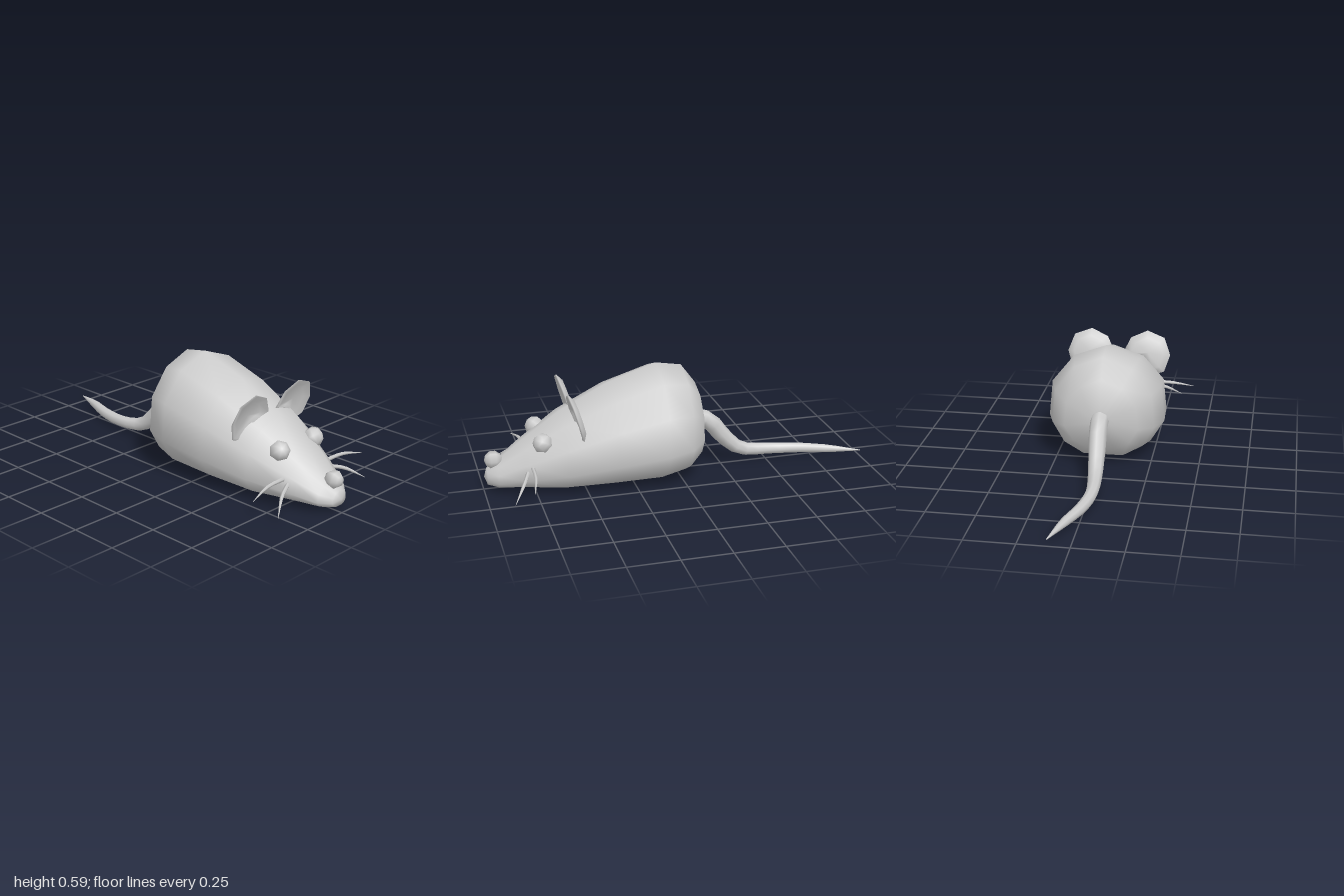
import * as THREE from 'three';
import { mergeVertices } from 'three/addons/utils/BufferGeometryUtils.js';

const material = new THREE.MeshStandardMaterial({ color: 0xcccccc });

function part(name, geometry, parent) {
  const mesh = new THREE.Mesh(geometry, material);
  mesh.name = name;
  parent.add(mesh);
  return mesh;
}

// Smooth skin over rings of [x, y, z]; rings run clockwise seen from +z, back to front
function loft(rings) {
  const n = rings[0].length, index = [];
  for (let i = 0; i < rings.length - 1; i++) {
    for (let j = 0; j < n; j++) {
      const a = i * n + j, b = i * n + (j + 1) % n;
      index.push(a, a + n, b, b, a + n, b + n);
    }
  }
  const g = new THREE.BufferGeometry();
  g.setAttribute('position', new THREE.Float32BufferAttribute(rings.flat(2), 3));
  g.setIndex(index);
  const merged = mergeVertices(g, 1e-5);
  merged.computeVertexNormals();
  return merged;
}

// Tube whose radius follows a list of values from start to tip
function taperedTube(points, radii, segments, sides) {
  const curve = new THREE.CatmullRomCurve3(points.map(p => new THREE.Vector3(...p)));
  const g = new THREE.TubeGeometry(curve, segments, 1, sides);
  const pos = g.attributes.position, v = new THREE.Vector3();
  for (let i = 0; i <= segments; i++) {
    const centre = curve.getPointAt(i / segments);
    const t = i / segments * (radii.length - 1);
    const k = Math.min(Math.floor(t), radii.length - 2);
    const r = THREE.MathUtils.lerp(radii[k], radii[k + 1], t - k);
    for (let j = 0; j <= sides; j++) {
      const id = i * (sides + 1) + j;
      v.fromBufferAttribute(pos, id).sub(centre).multiplyScalar(r).add(centre);
      pos.setXYZ(id, v.x, v.y, v.z);
    }
  }
  return g;
}

// Body: one eleven-sided outline, scaled along z
function bodyGeometry() {
  const half = [[0.56, 0.89], [0.94, 0.64], [1, 0.31], [0.77, 0.11], [0.39, 0]];
  const outline = [[0, 1], ...half, ...half.map(([x, y]) => [-x, y]).reverse()];
  // z, half width, bottom, top
  const sections = [
    [-0.142, 0, 0.27, 0.27], [-0.138, 0.05, 0.215, 0.325], [-0.105, 0.19, 0.1, 0.47],
    [-0.03, 0.265, 0.035, 0.57], [0.1, 0.305, 0.01, 0.592], [0.35, 0.29, 0.005, 0.51],
    [0.6, 0.24, 0, 0.385], [0.8, 0.16, 0.015, 0.245], [0.93, 0.1, 0.02, 0.145],
    [0.98, 0.05, 0.03, 0.11], [0.995, 0, 0.068, 0.068],
  ];
  return loft(sections.map(([z, w, lo, hi]) =>
    outline.map(([x, y]) => [x * w, lo + y * (hi - lo), z])));
}

// Ear: thin cupped dish that leans forward
function earGeometry(side) {
  let outline = [
    [0.025, 0.4], [0.065, 0.48], [0.155, 0.52], [0.25, 0.485], [0.285, 0.395],
    [0.255, 0.305], [0.21, 0.29], [0.17, 0.32], [0.13, 0.365], [0.08, 0.385],
  ];
  if (side < 0) outline = outline.map(([x, y]) => [-x, y]).reverse();
  const cx = 0.165 * side, cy = 0.41;
  // scale, depth: back centre, back, rim, inner rim, hollow
  const rings = [[0, -0.025], [0.7, -0.02], [1, 0.003], [0.94, 0.01], [0.65, -0.006], [0, -0.01]];
  return loft(rings.map(([s, d]) => outline.map(([px, py]) => {
    const y = cy + (py - cy) * s;
    return [cx + (px - cx) * s, y, 0.52 + (y - 0.295) * 0.27 + d];
  })));
}

export function createModel() {
  const model = new THREE.Group();
  model.name = 'mouse';

  part('body', bodyGeometry(), model);

  const nose = part('nose', new THREE.SphereGeometry(0.046, 6, 5), model);
  nose.rotation.x = Math.PI / 2;
  nose.position.set(0, 0.155, 0.945);

  for (const side of [1, -1]) {
    const label = side > 0 ? 'left' : 'right';
    part(label + 'Ear', earGeometry(side), model);

    const eye = part(label + 'Eye', new THREE.SphereGeometry(0.052, 7, 5), model);
    eye.position.set(0.122 * side, 0.265, 0.71);
    eye.rotation.set(0.9, 0, -0.5 * side);

    // Whiskers
    const paths = {
      UpperWhisker: [[0.15, 0.152, 0.77], [0.28, 0.15, 0.775], [0.405, 0.125, 0.8]],
      LowerWhisker: [[0.145, 0.13, 0.79], [0.23, 0.105, 0.825], [0.326, 0.042, 0.885]],
    };
    for (const [name, path] of Object.entries(paths)) {
      const points = path.map(([x, y, z]) => [x * side, y, z]);
      part(label + name, taperedTube(points, [0.011, 0.009, 0.001], 6, 5), model);
    }
  }

  // Tail
  const tailPath = [
    [0, 0.28, -0.1], [0, 0.25, -0.18], [-0.005, 0.15, -0.265], [-0.012, 0.07, -0.36],
    [-0.02, 0.046, -0.52], [0.005, 0.042, -0.68], [0.06, 0.04, -0.84], [0.11, 0.033, -1],
  ];
  part('tail', taperedTube(tailPath, [0.047, 0.045, 0.037, 0.031, 0.028, 0.022, 0.002], 16, 8), model);

  return model;
}
